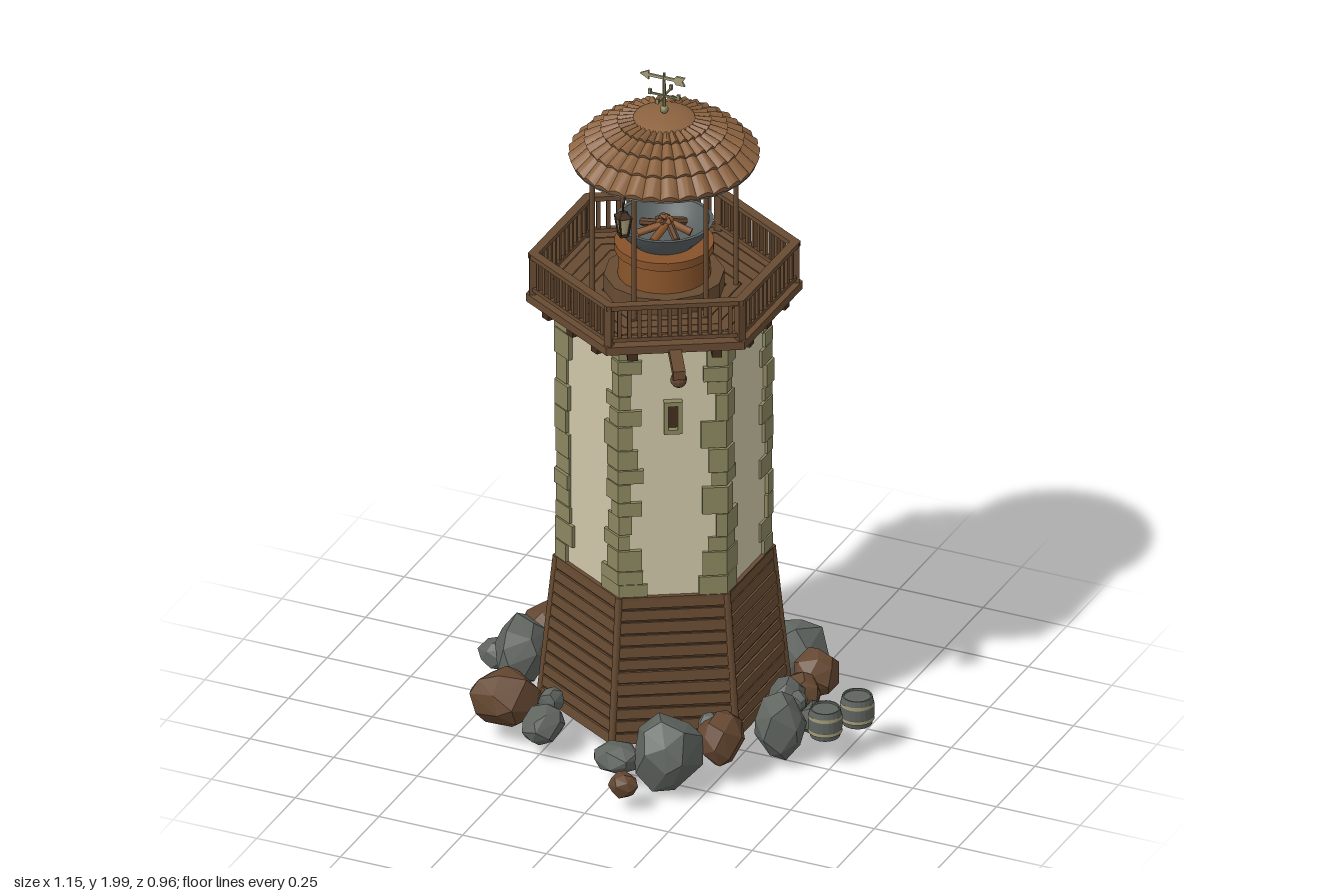
import * as THREE from 'three';
import { toCreasedNormals } from 'three/addons/utils/BufferGeometryUtils.js';
import { ConvexGeometry } from 'three/addons/geometries/ConvexGeometry.js';

const COS30 = Math.cos(Math.PI / 6);
const SIXTH = Math.PI / 3;

function makeMaterial(name, color, options = {}) {
  const m = new THREE.MeshStandardMaterial({ color, ...options });
  m.name = name;
  return m;
}

export function createModel() {
  const flat = { flatShading: true };
  const double = { side: THREE.DoubleSide };
  const mat = {
    plaster: makeMaterial('plaster', 0xcfc7a8, { ...flat, ...double }),
    quoin: makeMaterial('corner stone', 0x8b8660, flat),
    wood: makeMaterial('wood', 0x674b32),
    darkWood: makeMaterial('dark wood', 0x422e1e, flat),
    tile: makeMaterial('roof tile', 0x8c6340, double),
    orangeWood: makeMaterial('orange wood', 0x87532a),
    iron: makeMaterial('iron', 0x596060, double),
    greyRock: makeMaterial('grey rock', 0x5f645f, flat),
    brownRock: makeMaterial('brown rock', 0x644731, flat),
    pale: makeMaterial('pale trim', 0xa59c78),
  };
  let seed = 17;
  const rand = (a = 0, b = 1) => {
    seed = (seed * 16807) % 2147483647;
    return a + (b - a) * (seed / 2147483647);
  };

  const root = new THREE.Group();
  const tower = new THREE.Group();
  tower.name = 'tower';
  tower.position.set(-0.035, 0, -0.092);
  root.add(tower);

  const add = (parent, name, geo, material, x = 0, y = 0, z = 0) => {
    const m = new THREE.Mesh(geo, material);
    m.name = name;
    m.position.set(x, y, z);
    parent.add(m);
    return m;
  };
  const box = (parent, name, material, w, h, d, x, y, z) =>
    add(parent, name, new THREE.BoxGeometry(w, h, d), material, x, y, z);
  const cyl = (parent, name, material, r1, r2, h, n, x, y, z) =>
    add(parent, name, new THREE.CylinderGeometry(r1, r2, h, n), material, x, y, z);
  const polar = (r, a, y = 0) => new THREE.Vector3(r * Math.sin(a), y, r * Math.cos(a));
  // Round bar between two points
  const bar = (parent, name, material, a, b, r, n = 6) => {
    const m = cyl(parent, name, material, r, r, a.distanceTo(b), n, 0, 0, 0);
    m.position.copy(a).lerp(b, 0.5);
    m.quaternion.setFromUnitVectors(new THREE.Vector3(0, 1, 0), b.clone().sub(a).normalize());
    return m;
  };
  // Group whose +z points out of wall i
  const side = (name, i) => {
    const g = new THREE.Group();
    g.name = name;
    g.rotation.y = SIXTH * (i + 0.5);
    tower.add(g);
    return g;
  };
  // Flat hexagonal ring lying on height y
  const hexRing = (name, material, outer, inner, y, h) => {
    const pts = r => [0, 1, 2, 3, 4, 5].map(i => new THREE.Vector2(r * Math.sin(i * SIXTH), r * Math.cos(i * SIXTH)));
    const shape = new THREE.Shape(pts(outer));
    shape.holes.push(new THREE.Path(pts(inner)));
    const geo = new THREE.ExtrudeGeometry(shape, { depth: h, bevelEnabled: false });
    geo.rotateX(-Math.PI / 2);
    return add(tower, name, geo, material, 0, y, 0);
  };

  // Hollow plastered shaft
  add(tower, 'shaft', new THREE.CylinderGeometry(0.286, 0.286, 1.23, 6, 1, true), mat.plaster, 0, 0.705, 0);

  // Corner stones wrapped round each edge of the shaft
  for (let i = 0; i < 6; i++) {
    const column = new THREE.Group();
    column.name = 'cornerStones';
    column.rotation.y = i * SIXTH;
    tower.add(column);
    let y = 0.52;
    while (y < 1.31) {
      let h = Math.min(rand(0.04, 0.085), 1.315 - y);
      if (1.315 - y - h < 0.03) h = 1.315 - y;
      const R = 0.289 + rand(0.004, 0.012), t = 0.03;
      const [l, r] = [0, 1].map(() => rand(0.03, 0.072) + (y < 0.6 ? 0.015 : 0));
      const s = new THREE.Shape([
        new THREE.Vector2(0, -R), new THREE.Vector2(r * COS30, -R + r / 2),
        new THREE.Vector2(r * COS30 - t / 2, -R + r / 2 + t * COS30), new THREE.Vector2(0, -R + t * 1.15),
        new THREE.Vector2(-l * COS30 + t / 2, -R + l / 2 + t * COS30), new THREE.Vector2(-l * COS30, -R + l / 2),
      ]);
      const geo = new THREE.ExtrudeGeometry(s, { depth: h - 0.003, bevelEnabled: false });
      geo.rotateX(-Math.PI / 2);
      add(column, 'cornerStone', geo, mat.quoin, 0, y, 0);
      y += h;
    }
  }

  // Flared plank base
  const y0 = 0.085, y1 = 0.52, a0 = 0.298, a1 = 0.259;
  const tilt = Math.atan((a0 - a1) / (y1 - y0));
  add(tower, 'baseCore', new THREE.CylinderGeometry((a1 - 0.006) / COS30, (a0 - 0.006) / COS30, y1 - y0, 6, 1, true),
    mat.darkWood, 0, (y0 + y1) / 2, 0);
  hexRing('baseRim', mat.greyRock, 0.337, 0.287, y0, 0.03);
  hexRing('baseCap', mat.wood, 0.3, 0.28, y1 - 0.012, 0.012);
  for (let i = 0; i < 6; i++) {
    const g = side('basePlanks', i);
    const rows = 12, step = (y1 - y0) / rows;
    for (let k = 0; k < rows; k++) {
      const y = y0 + (k + 0.5) * step;
      const ap = a0 + (a1 - a0) * (y - y0) / (y1 - y0);
      const p = box(g, 'plank', mat.wood, 2 * ap / Math.sqrt(3) - 0.008, step - rand(0.004, 0.009), 0.014, 0, y, ap - 0.008 + rand(0, 0.003));
      p.rotation.x = -tilt;
    }
    bar(tower, 'cornerBoard', mat.wood, polar(a0 / COS30 - 0.006, i * SIXTH, y0), polar(a1 / COS30 - 0.006, i * SIXTH, y1), 0.011, 6);
  }

  // Slit windows on alternate walls
  for (const i of [0, 2, 4]) {
    const g = side('window', i), z = 0.25;
    box(g, 'opening', mat.darkWood, 0.026, 0.07, 0.006, 0, 1.075, z);
    for (const s of [-1, 1]) {
      box(g, 'windowJamb', mat.quoin, 0.013, 0.096, 0.024, s * 0.019, 1.075, z + 0.004);
      box(g, 'windowLintel', mat.quoin, 0.051, 0.013, 0.026, 0, 1.075 + s * 0.043, z + 0.004);
    }
  }

  // Door at the back
  const door = side('door', 3);
  box(door, 'doorLeaf', mat.darkWood, 0.12, 0.2, 0.03, 0, 0.185, 0.285);
  for (let k = -2; k <= 2; k++) box(door, 'doorPlank', mat.wood, 0.02, 0.19, 0.012, k * 0.0225, 0.18, 0.3);
  for (const y of [0.13, 0.235]) box(door, 'doorStrap', mat.iron, 0.1, 0.012, 0.008, 0, y, 0.308);
  for (const s of [-1, 1]) for (let k = 0; k < 4; k++)
    box(door, 'doorStone', mat.pale, 0.022 + 0.006 * (k % 2), 0.05, 0.05, s * 0.07, 0.11 + k * 0.052, 0.29);
  box(door, 'doorLintel', mat.wood, 0.16, 0.022, 0.05, 0, 0.3, 0.288);

  // Balcony deck, laid in concentric boards
  cyl(tower, 'deckCore', mat.darkWood, 0.368, 0.368, 0.022, 6, 0, 1.32, 0);
  for (let k = 0; k < 6; k++) hexRing('deckBoard', mat.wood, 0.377 - k * 0.042, 0.338 - k * 0.042, 1.312, 0.024);

  // Railing and joists on every side
  for (let i = 0; i < 6; i++) {
    const g = side('railing', i), ap = 0.309, w = 2 * ap / Math.sqrt(3);
    box(g, 'topRail', mat.wood, w + 0.012, 0.014, 0.026, 0, 1.453, ap);
    box(g, 'bottomRail', mat.wood, w, 0.012, 0.016, 0, 1.352, ap);
    for (let k = 1; k < 13; k++) box(g, 'baluster', mat.wood, 0.011, 0.1, 0.011, (k / 13 - 0.5) * w, 1.4, ap);
    for (const s of [-1, 0, 1]) box(g, 'joist', mat.darkWood, 0.028, 0.03, 0.08, s * 0.115, 1.3, 0.275);
    const p = polar(ap / COS30, i * SIXTH, 1.397);
    const post = box(tower, 'railPost', mat.wood, 0.022, 0.125, 0.022, p.x, p.y, p.z);
    post.rotation.y = i * SIXTH;
    // Roof posts and ring beam
    const q = polar(0.196, i * SIXTH, 1.54), next = polar(0.196, (i + 1) * SIXTH, 1.735);
    cyl(tower, 'roofPost', mat.wood, 0.0075, 0.0075, 0.42, 8, q.x, q.y, q.z);
    bar(tower, 'roofBeam', mat.wood, q.clone().setY(1.735), next, 0.008);
    bar(tower, 'rafter', mat.darkWood, polar(0.235, i * SIXTH, 1.748), polar(0.03, i * SIXTH, 1.842), 0.006);
  }

  // Fire pedestal, bowl and logs
  cyl(tower, 'pedestalStep', mat.wood, 0.165, 0.165, 0.05, 12, 0, 1.36, 0);
  cyl(tower, 'pedestal', mat.orangeWood, 0.122, 0.128, 0.08, 24, 0, 1.42, 0);
  cyl(tower, 'pedestalRim', mat.orangeWood, 0.136, 0.136, 0.024, 24, 0, 1.471, 0);
  const bowl = [[0, 1.484], [0.088, 1.484], [0.112, 1.508], [0.135, 1.548], [0.124, 1.548], [0.102, 1.515], [0.08, 1.5], [0, 1.5]];
  add(tower, 'fireBowl', toCreasedNormals(new THREE.LatheGeometry(bowl.map(p => new THREE.Vector2(...p)), 32), 0.6), mat.iron);
  for (let k = 0; k < 7; k++) {
    const a = k * 0.9;
    bar(tower, 'log', k % 2 ? mat.brownRock : mat.orangeWood, polar(0.075, a, 1.515), polar(0.02, a + 2.4, 1.545), 0.011, 7);
  }

  // Domed roof: overlapping rows of barrel tiles
  const profile = [[0.075, 1.858], [0.12, 1.843], [0.165, 1.82], [0.21, 1.788], [0.252, 1.742]];
  const tiles = 32, n = tiles * 8;
  for (let k = 0; k < profile.length - 1; k++) {
    const [rA, yA] = profile[k], [rB, yB] = profile[k + 1];
    const pos = [], idx = [];
    for (let j = 0; j <= n; j++) {
      const a = j / n * Math.PI * 2, bump = Math.abs(Math.sin(a * tiles / 2));
      for (const [r, y, lift] of [[rA, yA, 0.008], [rB + 0.004, yB, 0.013], [rB, yB - 0.005, 0.003]])
        pos.push(...polar(r + bump * lift * 0.4, a, y + bump * lift + (lift > 0.01 ? 0.003 : 0)).toArray());
      if (j < n) for (const o of [0, 1]) {
        const p = j * 3 + o;
        idx.push(p, p + 1, p + 3, p + 1, p + 4, p + 3);
      }
    }
    const geo = new THREE.BufferGeometry();
    geo.setAttribute('position', new THREE.Float32BufferAttribute(pos, 3));
    geo.setIndex(idx);
    add(tower, 'tileRow', toCreasedNormals(geo, 0.7), mat.tile);
  }
  const lining = profile.map(([r, y]) => new THREE.Vector2(r, y - 0.008));
  add(tower, 'roofLining', new THREE.LatheGeometry([new THREE.Vector2(0, 1.855), ...lining], 32), mat.iron);
  const cap = [[0.086, 1.856], [0.083, 1.866], [0.04, 1.874], [0, 1.877]];
  add(tower, 'roofCap', new THREE.LatheGeometry(cap.map(p => new THREE.Vector2(...p)), 32), mat.tile);

  // Weather vane
  const vane = new THREE.Group();
  vane.name = 'weatherVane';
  tower.add(vane);
  cyl(vane, 'vanePole', mat.quoin, 0.004, 0.006, 0.13, 8, 0, 1.935, 0);
  add(vane, 'vaneKnob', new THREE.SphereGeometry(0.012, 12, 8), mat.quoin, 0, 1.888, 0);
  box(vane, 'compassArmX', mat.quoin, 0.09, 0.005, 0.005, 0, 1.93, 0);
  box(vane, 'compassArmZ', mat.quoin, 0.005, 0.005, 0.09, 0, 1.93, 0);
  for (let i = 0; i < 4; i++) {
    const p = polar(0.043, i * Math.PI / 2, 1.934);
    box(vane, 'compassTip', mat.quoin, 0.008, 0.015, 0.008, p.x, p.y, p.z);
  }
  const arrow = new THREE.Shape([[-0.072, 0], [-0.045, 0.014], [-0.045, 0.004], [0.03, 0.004], [0.036, 0.013], [0.063, 0.013],
    [0.055, 0], [0.063, -0.013], [0.036, -0.013], [0.03, -0.004], [-0.045, -0.004], [-0.045, -0.014]].map(p => new THREE.Vector2(...p)));
  add(vane, 'vaneArrow', new THREE.ExtrudeGeometry(arrow, { depth: 0.006, bevelEnabled: false }), mat.pale, 0, 1.985, -0.003);

  // Lantern hung from the front eave
  const lantern = new THREE.Group();
  lantern.name = 'lantern';
  lantern.position.set(0, 0, 0.266);
  tower.add(lantern);
  const hook = new THREE.CatmullRomCurve3([[0, 1.735, -0.06], [0, 1.742, -0.02], [0, 1.73, 0], [0, 1.7, 0]].map(p => new THREE.Vector3(...p)));
  add(lantern, 'lanternHook', new THREE.TubeGeometry(hook, 12, 0.003, 6), mat.darkWood);
  cyl(lantern, 'lanternRoof', mat.darkWood, 0.01, 0.028, 0.016, 4, 0, 1.695, 0);
  cyl(lantern, 'lanternGlass', mat.pale, 0.023, 0.014, 0.05, 4, 0, 1.662, 0);
  cyl(lantern, 'lanternFoot', mat.darkWood, 0.017, 0.017, 0.009, 4, 0, 1.633, 0);
  for (let i = 0; i < 4; i++)
    bar(lantern, 'lanternBar', mat.darkWood, polar(0.015, i * Math.PI / 2, 1.635), polar(0.025, i * Math.PI / 2, 1.69), 0.003);

  // Hoist beam under the deck
  const hoist = side('hoist', 0);
  box(hoist, 'hoistBeam', mat.wood, 0.034, 0.026, 0.2, 0, 1.308, 0.35);
  bar(hoist, 'hoistRope', mat.pale, new THREE.Vector3(0, 1.3, 0.425), new THREE.Vector3(0, 1.28, 0.425), 0.005);
  add(hoist, 'hoistBlock', new THREE.SphereGeometry(0.023, 12, 8), mat.brownRock, 0, 1.283, 0.425);

  // Rocks: x, bottom, top, z, half width in x, half width in z, brown?
  const rocks = [
    [0.235, 0.01, 0.225, -0.375, 0.09, 0.078], [0.14, 0.08, 0.15, -0.4, 0.035, 0.035], [0.33, 0.06, 0.2, -0.28, 0.065, 0.068, 1],
    [0.33, 0.06, 0.17, -0.195, 0.055, 0.05, 1], [0.315, 0.06, 0.19, -0.125, 0.05, 0.06], [0.412, 0.04, 0.14, -0.12, 0.055, 0.052],
    [0.37, 0.12, 0.18, -0.085, 0.026, 0.026], [0.355, 0.015, 0.205, 0.005, 0.075, 0.08], [0.255, 0.06, 0.215, 0.17, 0.068, 0.078, 1],
    [0.228, 0.14, 0.21, 0.175, 0.036, 0.032], [0.15, 0.01, 0.23, 0.28, 0.1, 0.1], [0.015, 0.055, 0.14, 0.32, 0.068, 0.06],
    [0.087, 0.05, 0.125, 0.438, 0.042, 0.04, 1], [-0.245, 0.045, 0.15, 0.24, 0.06, 0.072], [-0.375, 0.05, 0.215, 0.2, 0.1, 0.098, 1],
    [-0.25, 0.1, 0.18, 0.175, 0.035, 0.035], [-0.405, 0.09, 0.29, 0.035, 0.075, 0.092], [-0.515, 0.055, 0.145, -0.07, 0.06, 0.054],
    [-0.43, 0.05, 0.2, -0.22, 0.088, 0.092, 1], [-0.1, 0.055, 0.125, -0.452, 0.035, 0.03, 1],
  ];
  for (const [x, lo, hi, z, rx, rz, brown] of rocks) {
    const pts = [], turn = rand(0, 6);
    for (let k = 0; k < 24; k++) {
      const c = 1 - (k + 0.5) / 12, s = Math.sqrt(1 - c * c), a = k * 2.4 + turn + rand(-0.35, 0.35), f = rand(0.92, 1.08);
      pts.push(new THREE.Vector3(s * Math.cos(a) * rx * f, c * (hi - lo) / 2 * f, s * Math.sin(a) * rz * f));
    }
    add(root, 'rock', new ConvexGeometry(pts), brown ? mat.brownRock : mat.greyRock, x, (lo + hi) / 2, z);
  }

  // Two barrels
  for (const [x, z] of [[0.473, -0.033], [0.523, -0.133]]) {
    const barrel = new THREE.Group();
    barrel.name = 'barrel';
    barrel.position.set(x, 0.137, z);
    root.add(barrel);
    const body = [[0, -0.04], [0.041, -0.042], [0.047, -0.015], [0.047, 0.015], [0.041, 0.042], [0.037, 0.042], [0.037, 0.036], [0, 0.036]];
    add(barrel, 'barrelBody', toCreasedNormals(new THREE.LatheGeometry(body.map(p => new THREE.Vector2(...p)), 20), 0.6), mat.greyRock);
    for (const y of [-0.022, 0.022])
      add(barrel, 'barrelHoop', new THREE.CylinderGeometry(0.0475, 0.0475, 0.01, 20, 1, true), mat.pale, 0, y, 0);
  }
  return root;
}
